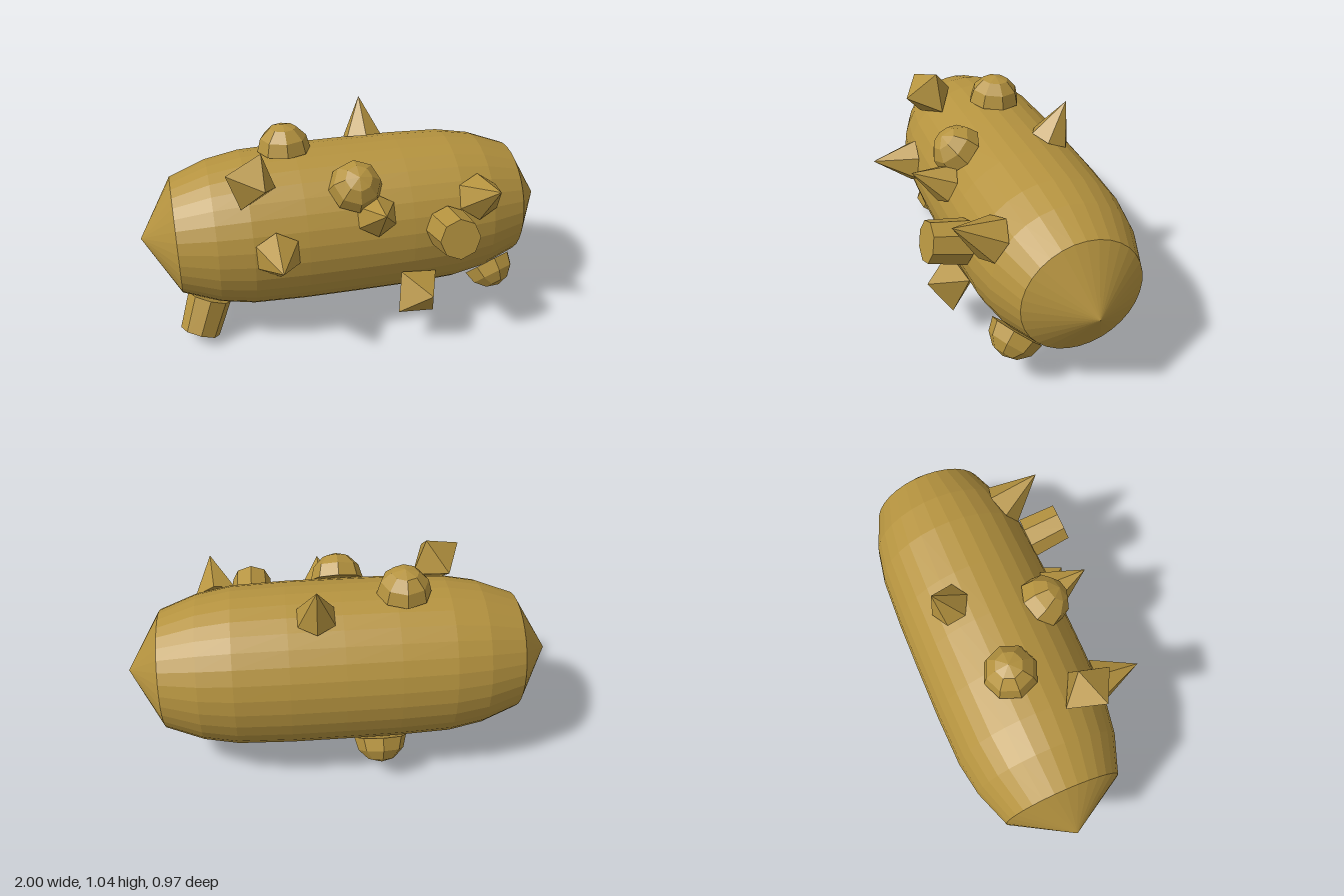
import * as THREE from 'three';

const AXIS_Y = 0.523, AXIS_Z = -0.105;
// half profile of the hull: [distance from middle, radius]
const PROFILE = [[0, 0.385], [0.25, 0.384], [0.5, 0.375], [0.66, 0.346], [0.835, 0.28], [1, 0]];

// hull radius at x, by interpolation along the profile
function radiusAt(x) {
  const d = Math.abs(x);
  const i = PROFILE.findIndex((p) => p[0] > d);
  const [a, b] = [PROFILE[i - 1], PROFILE[i]];
  return a[1] + ((b[1] - a[1]) * (d - a[0])) / (b[0] - a[0]);
}

export function createModel() {
  const model = new THREE.Group();
  const material = new THREE.MeshStandardMaterial({ color: 0xb5933f, flatShading: true });

  function add(name, geometry, parent = model) {
    const mesh = new THREE.Mesh(geometry, material);
    mesh.name = name;
    parent.add(mesh);
    return mesh;
  }

  // long hull with pointed ends, turned around the x axis
  const points = [
    ...PROFILE.slice(1).reverse().map(([d, r]) => new THREE.Vector2(r, -d)),
    ...PROFILE.map(([d, r]) => new THREE.Vector2(r, d)),
  ];
  const hull = add('hull', new THREE.LatheGeometry(points, 32));
  hull.rotation.z = -Math.PI / 2;
  hull.position.set(0, AXIS_Y, AXIS_Z);

  // group on the hull surface; angle runs from the front (+z) upwards,
  // tilt leans the growth towards the nearer end
  function mount(name, x, degrees, tilt) {
    const a = THREE.MathUtils.degToRad(degrees);
    const t = THREE.MathUtils.degToRad(tilt);
    const r = radiusAt(x);
    const normal = new THREE.Vector3(
      Math.sin(t) * Math.sign(x), Math.sin(a) * Math.cos(t), Math.cos(a) * Math.cos(t));
    const group = new THREE.Group();
    group.name = name;
    group.position.set(x, AXIS_Y + r * Math.sin(a), AXIS_Z + r * Math.cos(a));
    group.quaternion.setFromUnitVectors(new THREE.Vector3(0, 1, 0), normal);
    model.add(group);
    return group;
  }

  // six-sided spikes: x, angle, tilt, radius, height
  for (const [x, angle, tilt, r, h] of [
    [0.12, 113, 0, 0.096, 0.19],
    [-0.395, 8.5, 2, 0.11, 0.208],
    [0.07, 28, 0, 0.1, 0.19],
    [0.575, 32.5, 8, 0.11, 0.222],
  ]) {
    const cone = new THREE.ConeGeometry(r, h, 6).translate(0, h / 2, 0);
    add('spikeCone', cone, mount('spike', x, angle, tilt));
  }

  // half-round knobs with flat undersides: x, angle, tilt
  for (const [x, angle, tilt] of [
    [-0.29, 94, 0], [-0.01, 49, 0], [0.685, -47, 18], [-0.175, 233, 0],
  ]) {
    const knob = mount('knob', x, angle, tilt);
    add('knobDome', new THREE.SphereGeometry(0.126, 8, 3, 0, Math.PI * 2, 0, Math.PI / 2), knob);
    add('knobBase', new THREE.CircleGeometry(0.126, 8).rotateX(Math.PI / 2), knob);
  }

  // stubby eight-sided pegs: x, angle, tilt
  for (const [x, angle, tilt] of [[0.408, 13, 0], [-0.71, -69, 21]]) {
    const peg = new THREE.CylinderGeometry(0.096, 0.106, 0.18, 8).translate(0, 0.09, 0);
    add('pegBody', peg, mount('peg', x, angle, tilt));
  }

  // eight-faced crystals: centre, two corner directions, radius
  for (const [centre, up, out, r] of [
    [[-0.485, 0.9, 0.15], [0.055, 0.12, -0.03], [0.045, 0.01, 0.12], 0.134],
    [[0.265, 0.286, 0.292], [-0.085, 0.122, -0.018], [0.04, 0.04, 0.12], 0.138],
  ]) {
    const y = new THREE.Vector3(...up).normalize();
    const x = new THREE.Vector3().crossVectors(y, new THREE.Vector3(...out)).normalize();
    const z = new THREE.Vector3().crossVectors(x, y);
    const crystal = add('crystal', new THREE.OctahedronGeometry(r));
    crystal.quaternion.setFromRotationMatrix(new THREE.Matrix4().makeBasis(x, y, z));
    crystal.position.set(...centre);
  }

  return model;
}
